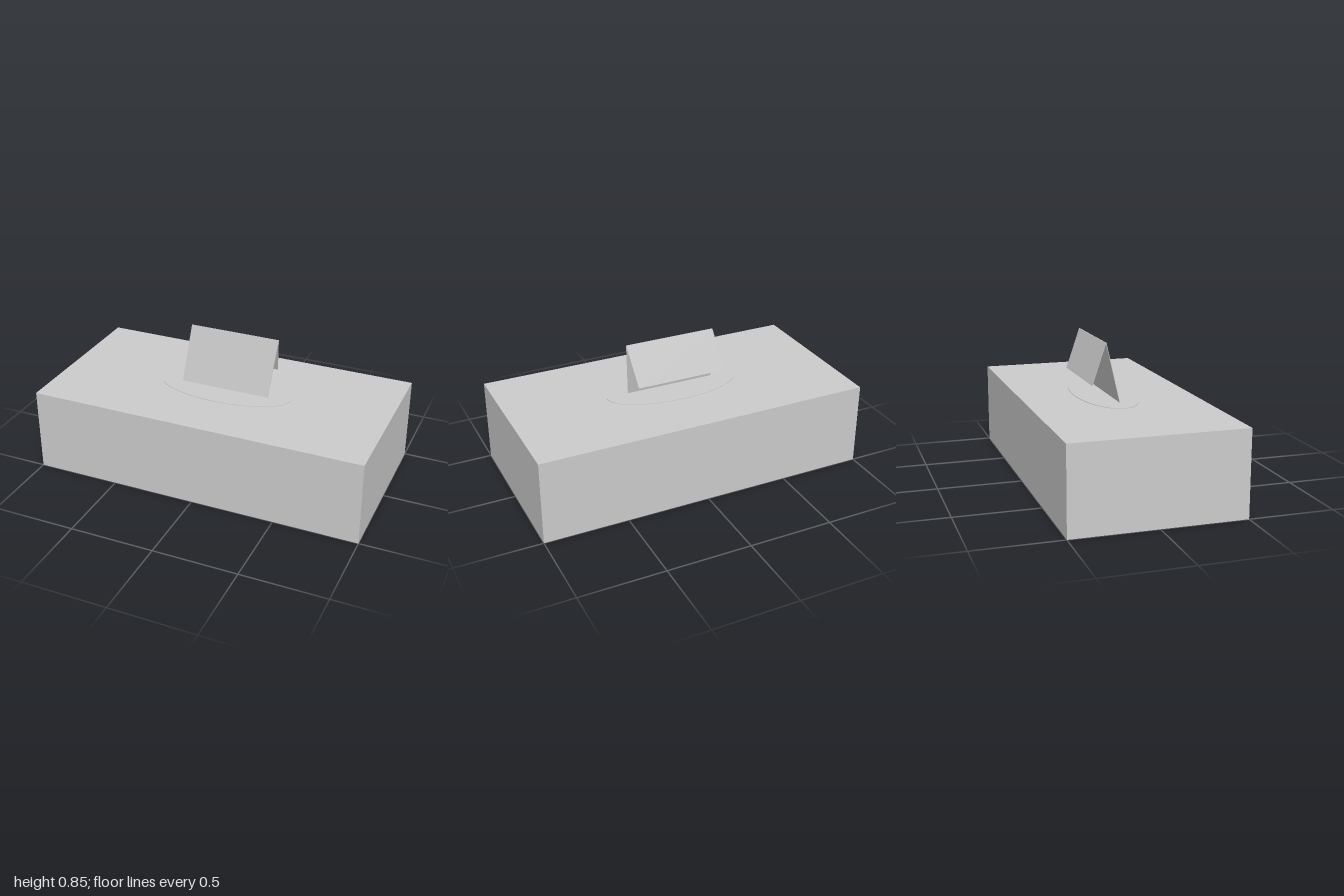
import * as THREE from 'three';

export function createModel() {
  const model = new THREE.Group();
  const grey = new THREE.MeshStandardMaterial({ color: 0xcccccc });
  grey.name = 'plainGrey';

  const add = (name, geometry, y = 0) => {
    const mesh = new THREE.Mesh(geometry, grey);
    mesh.name = name;
    mesh.position.y = y;
    model.add(mesh);
  };

  // Solid block
  add('base', new THREE.BoxGeometry(2, 0.5, 1), 0.25);

  // Thin oval plate lying on the block
  const oval = new THREE.CylinderGeometry(1, 1, 0.003, 64);
  oval.scale(0.41, 1, 0.18);
  add('ovalPlate', oval, 0.5015);

  // Folded card: thin V profile in (z, y), extruded across x
  const profile = new THREE.Shape([
    [0.02, 0.502], [-0.051, 0.847], [-0.055, 0.847], [-0.147, 0.611],
    [-0.144, 0.61], [-0.0533, 0.843], [0.017, 0.502],
  ].map(([z, y]) => new THREE.Vector2(z, y)));
  const card = new THREE.ExtrudeGeometry(profile, { depth: 0.545, bevelEnabled: false });
  card.rotateY(-Math.PI / 2).translate(0.2725, 0, 0);

  // Skew both panels so the ridge sits slightly to one side
  const p = card.attributes.position;
  for (let i = 0; i < p.count; i++) {
    const z = p.getZ(i);
    const t = z > -0.053 ? (0.02 - z) / 0.073 : (z + 0.147) / 0.094;
    p.setX(i, p.getX(i) + 0.035 * t);
  }
  card.computeVertexNormals();
  add('foldedCard', card);

  return model;
}
